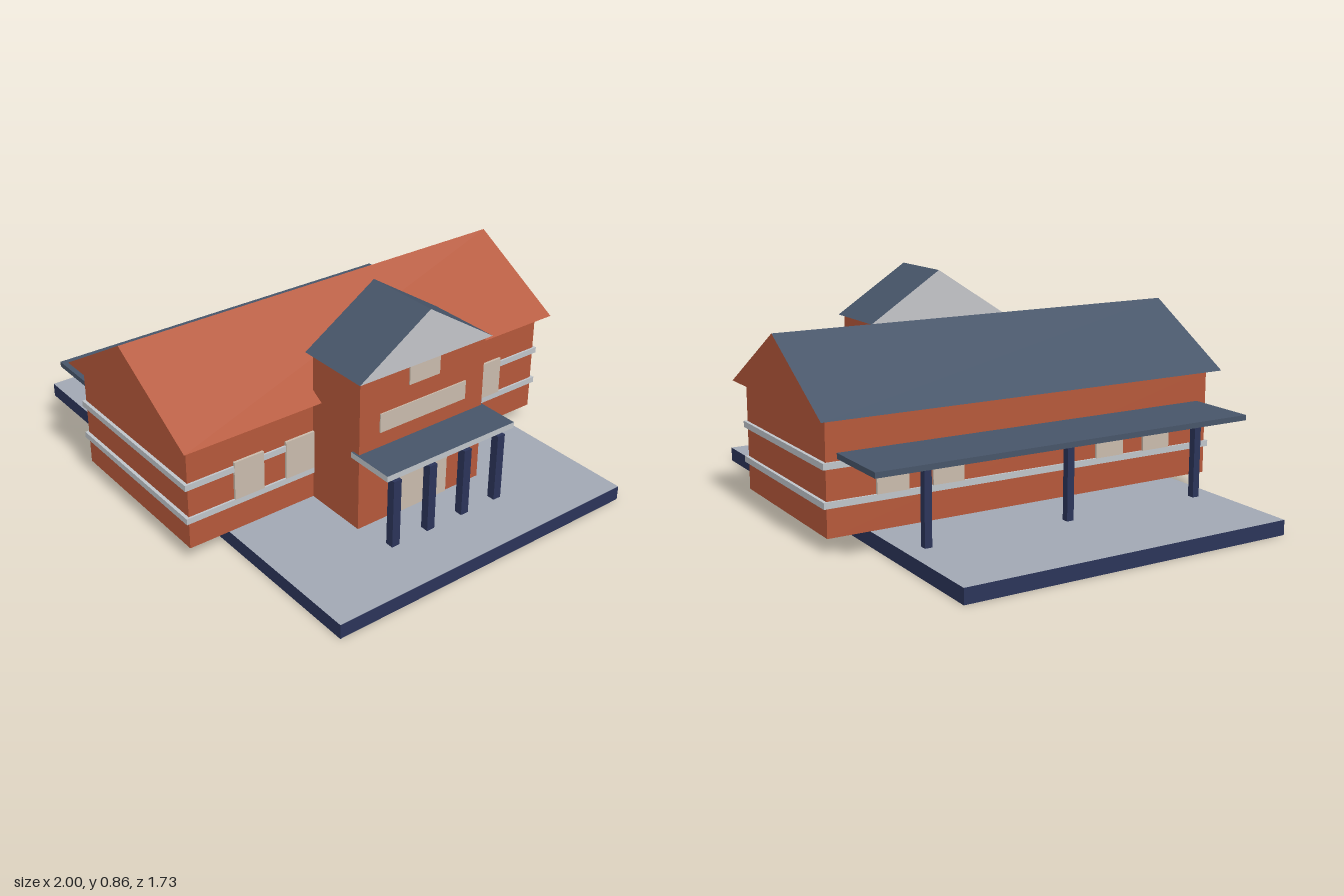
import * as THREE from 'three';

const mat = (name, color) => {
  const m = new THREE.MeshStandardMaterial({ color });
  m.name = name;
  return m;
};

export function createModel() {
  const brick = mat('brick', 0xb5583a);
  const slate = mat('slate', 0x475569);
  const navy = mat('navy', 0x2b3459);
  const paving = mat('paving', 0xa1a7b3);
  const trim = mat('trim', 0xbfc4c9);
  const pediment = mat('pediment', 0xc3c4c8);
  const cream = mat('cream', 0xc9bbac);

  const model = new THREE.Group();
  model.name = 'station';

  // Box given by its minimum and maximum on each axis
  function box(name, [x0, x1], [y0, y1], [z0, z1], material) {
    const mesh = new THREE.Mesh(new THREE.BoxGeometry(x1 - x0, y1 - y0, z1 - z0), material);
    mesh.position.set((x0 + x1) / 2, (y0 + y1) / 2, (z0 + z1) / 2);
    mesh.name = name;
    model.add(mesh);
    return mesh;
  }

  // Gable roof with its ridge along z; separate materials for gables, slopes and underside
  function gableRoof(name, halfWidth, height, length, materials) {
    const shape = new THREE.Shape([
      new THREE.Vector2(-halfWidth, 0),
      new THREE.Vector2(halfWidth, 0),
      new THREE.Vector2(0, height),
    ]);
    const geometry = new THREE.ExtrudeGeometry(shape, { depth: length, bevelEnabled: false });
    geometry.translate(0, 0, -length / 2);
    geometry.clearGroups();
    geometry.addGroup(0, 6, 0);
    geometry.addGroup(6, 6, 1);
    geometry.addGroup(12, 6, 2);
    geometry.addGroup(18, 6, 1);
    const mesh = new THREE.Mesh(geometry, materials);
    mesh.name = name;
    model.add(mesh);
    return mesh;
  }

  // Platform with paved top and underside
  box('platform', [-1, 1], [0, 0.057], [-0.665, 0.665], [navy, navy, paving, paving, navy, navy]);

  // Main hall
  box('hallWalls', [-0.357, 0.357], [0.058, 0.481], [-0.83, 0.83], brick);
  const hallRoof = gableRoof('hallRoof', 0.408, 0.241, 1.73, [brick, slate, brick]);
  hallRoof.position.y = 0.481;

  // Wall bands around the hall
  for (const y of [0.178, 0.316]) {
    box('wallBand', [-0.365, 0.365], [y - 0.012, y + 0.012], [-0.843, 0.843], trim);
  }

  // Hall windows on both long sides
  for (const side of [-1, 1]) {
    for (const z of [-0.578, -0.355, 0.355, 0.578]) {
      const x = side * 0.362;
      box('hallWindow', [x - 0.0048, x + 0.0048], [0.19, 0.344], [z - 0.063, z + 0.063], cream);
    }
  }

  // Entrance tower
  box('towerWalls', [0.355, 0.622], [0.058, 0.66], [-0.29, 0.29], brick);
  const towerRoof = gableRoof('towerRoof', 0.307, 0.198, 0.307, [pediment, slate, slate]);
  towerRoof.rotation.y = Math.PI / 2;
  towerRoof.position.set(0.4875, 0.66, 0);

  // Tower openings
  const face = [0.62, 0.627];
  box('entranceDoor', face, [0.058, 0.307], [-0.125, 0.125], cream);
  box('wideWindow', face, [0.43, 0.505], [-0.2, 0.2], cream);
  box('upperWindow', face, [0.578, 0.66], [-0.07, 0.07], cream);

  // Entrance canopy and its posts
  box('entranceCanopy', [0.588, 0.786], [0.347, 0.37], [-0.298, 0.298],
    [trim, trim, slate, slate, trim, trim]);
  for (const z of [-0.245, -0.082, 0.082, 0.245]) {
    box('entrancePost', [0.747, 0.78], [0.057, 0.33], [z - 0.017, z + 0.017], navy);
  }

  // Platform canopy and its posts
  box('platformCanopy', [-0.645, -0.355], [0.336, 0.357], [-0.787, 0.787], slate);
  for (const z of [-0.577, 0, 0.577]) {
    box('platformPost', [-0.616, -0.588], [0.057, 0.332], [z - 0.014, z + 0.014], navy);
  }

  return model;
}
